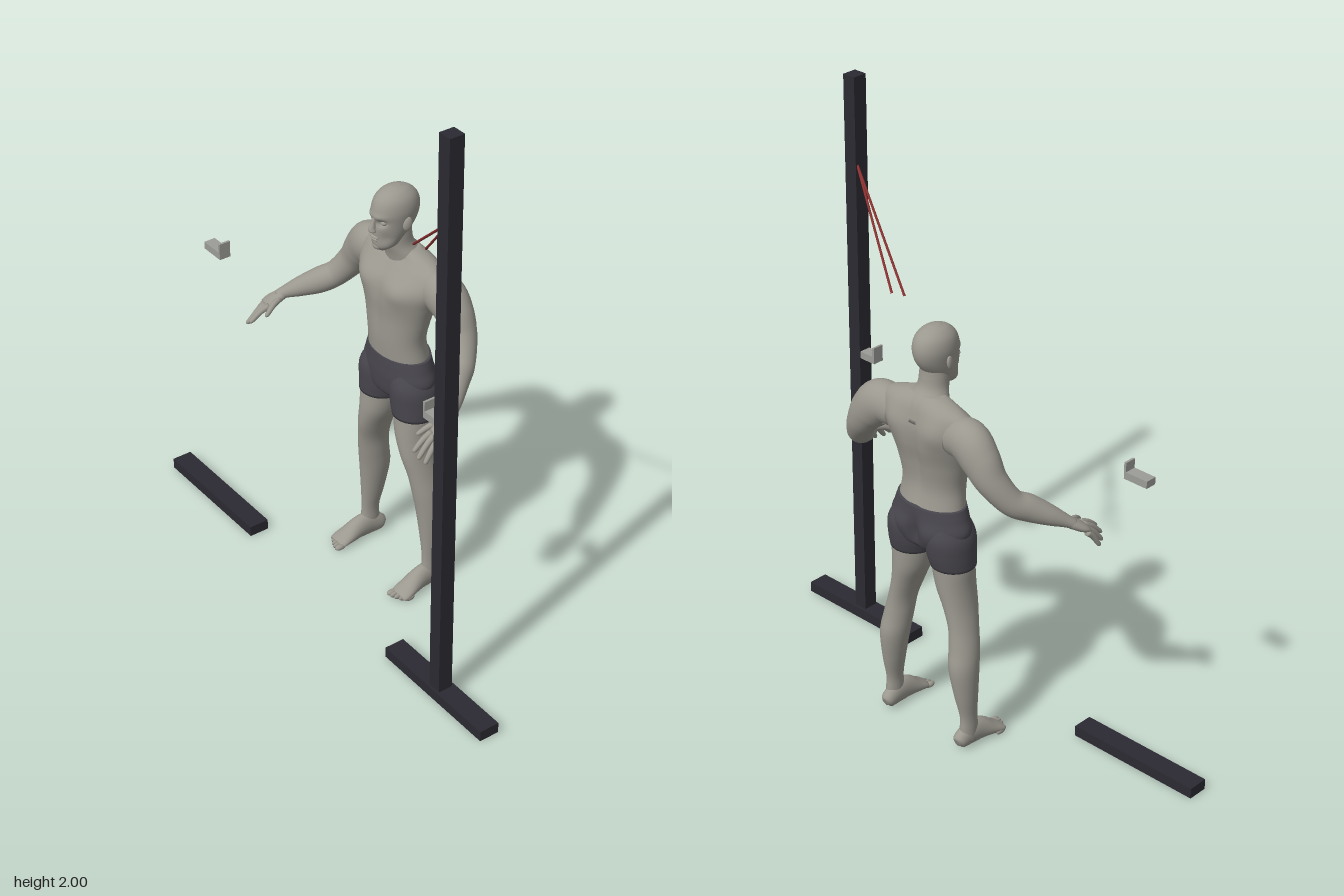
import * as THREE from 'three';

const mat = (name, color) => Object.assign(new THREE.MeshStandardMaterial({ color }), { name });
const bell = (d, w) => Math.exp(-(d * d) / (w * w));

// Smooth skin through elliptical stations [x, y, z, half width, half depth].
// Upright lofts run bottom to top with level rings; others follow the path.
function loft(stations, { upright = false, s = 1, seg = 28, steps = 5, sculpt } = {}) {
  const centres = new THREE.CatmullRomCurve3(
    stations.map(p => new THREE.Vector3(p[0] * s, p[1], p[2])), false, 'catmullrom');
  const sizes = new THREE.CatmullRomCurve3(
    stations.map(p => new THREE.Vector3(p[3], p[4], 0)), false, 'catmullrom');
  const rows = (stations.length - 1) * steps, pos = [], idx = [];
  const up = new THREE.Vector3(0, 1, 0);
  const push = v => { if (sculpt) sculpt(v); pos.push(v.x, v.y, v.z); };
  for (let i = 0; i <= rows; i++) {
    const c = centres.getPoint(i / rows), r = sizes.getPoint(i / rows);
    let u = new THREE.Vector3(0, 0, 1), v = new THREE.Vector3(1, 0, 0), a = r.y, b = r.x;
    if (!upright) {
      const t = centres.getTangent(i / rows);
      u = up.clone().cross(t).normalize();
      v = t.clone().cross(u);
      a = r.x; b = r.y;
    }
    for (let j = 0; j < seg; j++) {
      const q = (j / seg) * Math.PI * 2;
      push(c.clone().addScaledVector(u, a * Math.cos(q)).addScaledVector(v, b * Math.sin(q)));
    }
  }
  for (let i = 0; i < rows; i++) for (let j = 0; j < seg; j++) {
    const k = (j + 1) % seg, A = i * seg + j, B = i * seg + k, C = B + seg, D = A + seg;
    idx.push(A, B, C, A, C, D);
  }
  const n = (rows + 1) * seg;
  push(centres.getPoint(0));
  push(centres.getPoint(1));
  for (let j = 0; j < seg; j++) {
    const k = (j + 1) % seg;
    idx.push(n, k, j, n + 1, rows * seg + j, rows * seg + k);
  }
  const g = new THREE.BufferGeometry();
  g.setAttribute('position', new THREE.Float32BufferAttribute(pos, 3));
  g.setIndex(idx);
  g.computeVertexNormals();
  return g;
}

export function createModel() {
  const root = new THREE.Group();
  root.name = 'athleteWithRack';
  const skin = mat('skin', 0x9b988f), cloth = mat('shorts', 0x49474e);
  const frame = mat('frame', 0x2b2a32), steel = mat('steel', 0x9c9c98), rubber = mat('band', 0x8c3030);
  const add = (name, geo, material, parent = root) => {
    const m = new THREE.Mesh(geo, material);
    m.name = name;
    parent.add(m);
    return m;
  };
  const box = (name, x0, x1, y0, y1, z0, z1, m) =>
    add(name, new THREE.BoxGeometry(x1 - x0, y1 - y0, z1 - z0), m)
      .position.set((x0 + x1) / 2, (y0 + y1) / 2, (z0 + z1) / 2);
  const blob = (name, x, y, z, rx, ry, rz, parent) => {
    const m = add(name, new THREE.SphereGeometry(1, 16, 12), skin, parent);
    m.position.set(x, y, z);
    m.scale.set(rx, ry, rz);
    return m;
  };

  // Rack: base bars, one upright, bar hooks
  box('leftBase', 0.38, 0.865, 0, 0.037, 0.145, 0.215, frame);
  box('rightBase', -0.868, -0.385, 0, 0.037, 0.145, 0.215, frame);
  box('post', 0.6, 0.648, 0.03, 2, 0.157, 0.208, frame);
  for (const s of [1, -1]) {
    const span = (a, b) => s > 0 ? [a, b] : [-b, -a];
    box('hookArm', ...span(0.537, 0.627), 1.02, 1.045, 0.16, 0.2, steel);
    box('hookLip', ...span(0.537, 0.545), 1.02, 1.077, 0.16, 0.2, steel);
  }

  // Elastic bands hanging off the post
  for (const end of [[0.255, 1.41, 0.025], [0.298, 1.41, 0.012]]) {
    const path = new THREE.LineCurve3(new THREE.Vector3(0.605, 1.705, 0.168), new THREE.Vector3(...end));
    add('band', new THREE.TubeGeometry(path, 1, 0.004, 8), rubber);
  }

  const body = new THREE.Group();
  body.name = 'athlete';
  root.add(body);

  // Torso with chest, breastbone, spine and shoulder blade relief
  add('torso', loft([
    [0, 0.84, -0.118, 0.123, 0.079], [0, 0.92, -0.108, 0.117, 0.076], [0, 1.0, -0.112, 0.134, 0.081],
    [0, 1.07, -0.118, 0.157, 0.09], [0, 1.13, -0.125, 0.183, 0.086], [0, 1.18, -0.135, 0.185, 0.066],
    [0, 1.21, -0.14, 0.145, 0.05], [0, 1.237, -0.135, 0.06, 0.035],
  ], { upright: true, seg: 64, steps: 8, sculpt: v => {
    const ax = Math.abs(v.x);
    if (v.z > -0.1) {
      v.z += 0.014 * bell(ax - 0.085, 0.05) * bell(v.y - 1.115, 0.045);
      v.z -= 0.006 * bell(v.x, 0.014) * bell(v.y - 1.06, 0.14);
    } else if (v.z < -0.14) {
      v.z += 0.014 * bell(v.x, 0.022) * bell(v.y - 1.03, 0.17);
      v.z -= 0.012 * bell(ax - 0.09, 0.045) * bell(v.y - 1.14, 0.06);
    }
  } }), skin, body);
  add('neck', loft([
    [0, 1.15, -0.145, 0.08, 0.06], [0, 1.21, -0.133, 0.07, 0.057], [0, 1.25, -0.112, 0.051, 0.048],
    [0, 1.29, -0.104, 0.047, 0.048], [0, 1.33, -0.1, 0.045, 0.05],
  ], { upright: true }), skin, body);

  // Head with eye sockets, brow and cheeks pressed into the surface
  add('head', loft([
    [0, 1.245, -0.048, 0.018, 0.016], [0, 1.263, -0.062, 0.039, 0.043], [0, 1.3, -0.08, 0.051, 0.063],
    [0, 1.34, -0.094, 0.058, 0.078], [0, 1.38, -0.099, 0.062, 0.082], [0, 1.415, -0.1, 0.055, 0.071],
    [0, 1.438, -0.1, 0.036, 0.046], [0, 1.449, -0.1, 0.011, 0.014],
  ], { upright: true, seg: 56, steps: 8, sculpt: v => {
    if (v.z < -0.06) return;
    const ax = Math.abs(v.x);
    v.z -= 0.013 * bell(ax - 0.025, 0.013) * bell(v.y - 1.348, 0.011);
    v.z += 0.005 * bell(ax - 0.02, 0.02) * bell(v.y - 1.367, 0.009);
    v.z -= 0.006 * bell(ax - 0.036, 0.013) * bell(v.y - 1.295, 0.02);
  } }), skin, body);
  add('nose', loft([
    [0, 1.312, -0.014, 0.008, 0.005], [0, 1.318, -0.011, 0.014, 0.012], [0, 1.328, -0.011, 0.01, 0.012],
    [0, 1.345, -0.016, 0.007, 0.009], [0, 1.362, -0.02, 0.007, 0.006],
  ], { upright: true, seg: 16 }), skin, body);
  blob('upperLip', 0, 1.295, -0.019, 0.019, 0.005, 0.008, body);
  blob('lowerLip', 0, 1.286, -0.021, 0.016, 0.005, 0.008, body);
  blob('chin', 0, 1.26, -0.029, 0.018, 0.012, 0.012, body);

  // Pelvis part of the shorts
  add('shortsSeat', loft([
    [0, 0.695, -0.12, 0.06, 0.055], [0, 0.72, -0.12, 0.125, 0.078], [0, 0.775, -0.121, 0.154, 0.086],
    [0, 0.82, -0.119, 0.141, 0.084], [0, 0.857, -0.118, 0.127, 0.082],
  ], { upright: true, seg: 56, steps: 8, sculpt: v => {
    if (v.z > -0.14) return;
    v.z += 0.022 * bell(v.x, 0.018) * bell(v.y - 0.76, 0.05);
    v.z -= 0.01 * bell(Math.abs(v.x) - 0.07, 0.04) * bell(v.y - 0.765, 0.04);
  } }), cloth, body);

  for (const s of [1, -1]) {
    const side = new THREE.Group();
    side.name = s > 0 ? 'leftLimbs' : 'rightLimbs';
    body.add(side);
    const part = (name, stations, opts = {}, m = skin) => add(name, loft(stations, { s, ...opts }), m, side);

    blob('eye', s * 0.025, 1.348, -0.036, 0.011, 0.008, 0.009, side);
    blob('ear', s * 0.061, 1.34, -0.1, 0.008, 0.024, 0.015, side).rotation.set(-0.2, s * -0.3, 0);

    // Leg and shorts leg
    part('shortsLeg', [
      [0.088, 0.652, -0.115, 0.074, 0.073], [0.083, 0.7, -0.119, 0.079, 0.081],
      [0.08, 0.76, -0.121, 0.077, 0.085], [0.07, 0.81, -0.12, 0.06, 0.07],
    ], { upright: true, seg: 36 }, cloth);
    part('leg', [
      [0.168, 0.025, -0.128, 0.024, 0.036], [0.168, 0.07, -0.127, 0.024, 0.035],
      [0.167, 0.12, -0.128, 0.024, 0.033], [0.162, 0.2, -0.134, 0.035, 0.043],
      [0.154, 0.3, -0.136, 0.046, 0.054], [0.146, 0.37, -0.126, 0.046, 0.054],
      [0.134, 0.44, -0.117, 0.042, 0.056], [0.115, 0.51, -0.111, 0.047, 0.064],
      [0.096, 0.58, -0.112, 0.06, 0.069], [0.089, 0.645, -0.115, 0.069, 0.069], [0.087, 0.68, -0.116, 0.07, 0.07],
    ], { upright: true, seg: 36 });
    part('foot', [
      [0.164, 0.026, -0.177, 0.012, 0.014], [0.164, 0.031, -0.165, 0.024, 0.029],
      [0.166, 0.043, -0.12, 0.027, 0.043], [0.168, 0.041, -0.08, 0.03, 0.04],
      [0.171, 0.026, -0.035, 0.036, 0.025], [0.173, 0.016, -0.004, 0.038, 0.015], [0.173, 0.012, 0.01, 0.032, 0.009],
    ]);
    for (let i = 0; i < 5; i++)
      blob('toe', s * (0.146 + i * 0.0145), 0.011, 0.014 - i * i * 0.0018,
        i ? 0.0075 : 0.011, 0.01, 0.02, side);

    // Arm from shoulder to wrist
    part('arm', [
      [0.12, 1.13, -0.142, 0.055, 0.06], [0.185, 1.135, -0.146, 0.062, 0.073],
      [0.235, 1.093, -0.15, 0.058, 0.066], [0.278, 1.033, -0.144, 0.05, 0.051],
      [0.325, 0.967, -0.11, 0.043, 0.043], [0.356, 0.94, -0.065, 0.043, 0.043],
      [0.4, 0.91, -0.015, 0.034, 0.032], [0.432, 0.887, 0.023, 0.023, 0.02], [0.443, 0.874, 0.042, 0.023, 0.017],
    ], { steps: 7 });
    // Hand
    part('palm', [
      [0.432, 0.886, 0.022, 0.02, 0.017], [0.442, 0.872, 0.045, 0.028, 0.017],
      [0.451, 0.858, 0.068, 0.033, 0.015], [0.456, 0.848, 0.086, 0.03, 0.009],
    ]);
    for (const [name, k, t] of [
      ['indexFinger', [0.432, 0.856, 0.085], [0.437, 0.815, 0.157]],
      ['middleFinger', [0.447, 0.853, 0.085], [0.459, 0.8, 0.156]],
      ['ringFinger', [0.462, 0.848, 0.079], [0.475, 0.786, 0.142]],
      ['littleFinger', [0.476, 0.844, 0.07], [0.489, 0.783, 0.115]],
      ['thumb', [0.425, 0.872, 0.05], [0.402, 0.842, 0.118]],
    ]) {
      const at = (f, lift, r) => [...k.map((c, i) => c + (t[i] - c) * f + (i === 1 ? lift : 0)), r, r];
      part(name, [at(0, 0, 0.011), at(0.45, 0.007, 0.0095), at(0.9, 0.002, 0.0075), at(1, 0, 0.003)],
        { seg: 12, steps: 4 });
    }
  }
  return root;
}
